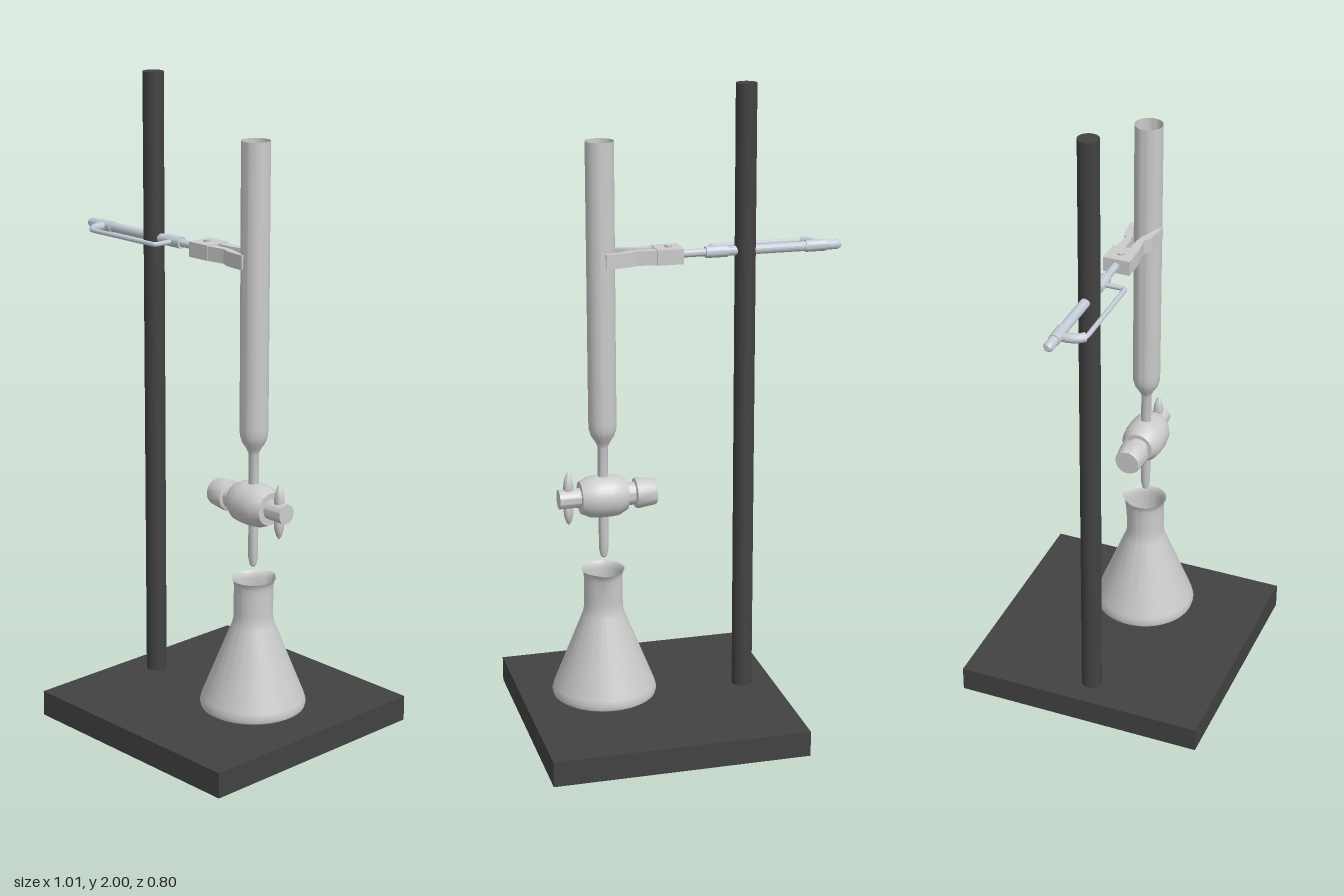
import * as THREE from 'three';
import { toCreasedNormals } from 'three/addons/utils/BufferGeometryUtils.js';

const dark = new THREE.MeshStandardMaterial({ color: 0x424242 });
const grey = new THREE.MeshStandardMaterial({ color: 0xcccccc, side: THREE.DoubleSide });
const steel = new THREE.MeshStandardMaterial({ color: 0xc4ccd6 });

function add(parent, name, geo, mat, x = 0, y = 0, z = 0) {
  const mesh = new THREE.Mesh(geo, mat);
  mesh.name = name;
  mesh.position.set(x, y, z);
  parent.add(mesh);
  return mesh;
}

// Lathe from [radius, height] pairs, keeping sharp profile edges
function turned(profile, segments = 40) {
  const points = profile.map(([r, h]) => new THREE.Vector2(r, h));
  return toCreasedNormals(new THREE.LatheGeometry(points, segments), 0.5);
}

// The same, lying along +x
const turnedX = (profile, segments = 28) => turned(profile, segments).rotateZ(-Math.PI / 2);

// Plan outline of [x, z] pairs, extruded downwards from the top
function slab(outline, height) {
  const shape = new THREE.Shape(outline.map(([x, z]) => new THREE.Vector2(x, z)));
  return new THREE.ExtrudeGeometry(shape, { depth: height, bevelEnabled: false }).rotateX(Math.PI / 2);
}

function createStand() {
  const g = new THREE.Group();
  g.name = 'stand';
  add(g, 'base', new THREE.BoxGeometry(0.8, 0.08, 0.8), dark, 0.1, 0.04, 0);
  add(g, 'rod', new THREE.CylinderGeometry(0.032, 0.032, 1.93, 32), dark, -0.202, 1.035, 0.01);
  return g;
}

function createFlask() {
  const points = [[0, 0], [0.148, 0], [0.16, 0.008], [0.163, 0.02], [0.158, 0.038], [0.066, 0.27],
    [0.061, 0.29], [0.06, 0.31], [0.06, 0.34], [0.06, 0.37], [0.06, 0.395], [0.062, 0.41], [0.067, 0.417]]
    .map(([r, h]) => new THREE.Vector2(r, h));
  const geo = new THREE.LatheGeometry(points, 64);
  // Pull the back of the neck out into a pouring spout
  const p = geo.attributes.position;
  for (let i = 0; i < p.count; i++) {
    const x = p.getX(i), y = p.getY(i), z = p.getZ(i);
    if (y < 0.3 || z > 0) continue;
    const lift = ((y - 0.3) / 0.117) ** 1.5 * Math.exp(-((x / 0.026) ** 2));
    p.setZ(i, z - 0.014 * lift);
  }
  geo.computeVertexNormals();
  const flask = new THREE.Group();
  flask.name = 'flask';
  add(flask, 'flaskBody', toCreasedNormals(geo, 0.6), grey);
  flask.position.set(0.247, 0.095, 0.016);
  return flask;
}

function createBurette() {
  const g = new THREE.Group();
  g.name = 'burette';
  g.position.set(0.244, 0, 0.016);
  // Open tube narrowing to the outlet
  add(g, 'tube', turned([[0.016, 0.76], [0.016, 0.91], [0.023, 0.925], [0.036, 0.945], [0.042, 0.965],
    [0.043, 0.99], [0.043, 1.847]]), grey);
  add(g, 'tip', turned([[0.005, 0.55], [0.01, 0.555], [0.015, 0.58], [0.015, 0.74]], 24), grey);

  // Stopcock lying across the tube
  const tap = new THREE.Group();
  tap.name = 'stopcock';
  tap.position.y = 0.75;
  g.add(tap);
  add(tap, 'barrel', turnedX([[0, -0.072], [0.048, -0.072], [0.063, -0.045], [0.066, -0.02], [0.066, 0.02],
    [0.063, 0.045], [0.05, 0.073], [0, 0.073]]), grey);
  add(tap, 'plugCap', turnedX([[0, -0.164], [0.038, -0.164], [0.041, -0.158], [0.048, -0.108],
    [0.046, -0.1], [0.036, -0.097], [0.036, -0.07]]), grey);
  add(tap, 'keyStem', turnedX([[0.03, 0.07], [0.03, 0.14], [0, 0.14]]), grey);
  for (const s of [1, -1]) {
    const wing = add(tap, 'keyWing', turned([[0.013, 0.015], [0.016, 0.035], [0.014, 0.055],
      [0.008, 0.075], [0, 0.086]], 16), grey, 0.109, 0, 0);
    if (s < 0) wing.rotation.z = Math.PI;
  }
  return g;
}

function createClamp() {
  const g = new THREE.Group();
  g.name = 'clamp';
  g.position.set(0, 1.496, 0.009);
  // Shaft with pointed end
  add(g, 'shaft', turnedX([[0, -0.506], [0.009, -0.504], [0.015, -0.493], [0.015, -0.09],
    [0.012, -0.08], [0.012, 0.01], [0, 0.01]], 20), steel);
  for (const [x0, x1, r] of [[-0.456, -0.392, 0.018], [-0.145, -0.077, 0.018]]) {
    add(g, 'collar', turnedX([[0, x0], [r, x0], [r, x1], [0, x1]], 20), steel);
  }
  // Side bar bent out from one collar and back into the other
  const path = new THREE.CurvePath();
  const v = (x, z) => new THREE.Vector3(x, 0, z);
  path.add(new THREE.LineCurve3(v(-0.428, 0.01), v(-0.428, 0.045)));
  path.add(new THREE.QuadraticBezierCurve3(v(-0.428, 0.045), v(-0.422, 0.077), v(-0.39, 0.077)));
  path.add(new THREE.LineCurve3(v(-0.39, 0.077), v(-0.125, 0.077)));
  path.add(new THREE.QuadraticBezierCurve3(v(-0.125, 0.077), v(-0.113, 0.077), v(-0.113, 0.065)));
  path.add(new THREE.LineCurve3(v(-0.113, 0.065), v(-0.113, 0.01)));
  add(g, 'sideBar', new THREE.TubeGeometry(path, 90, 0.0075, 10), steel);
  const root = new THREE.CatmullRomCurve3([v(-0.428, 0.01), v(-0.427, 0.035), v(-0.418, 0.06), v(-0.405, 0.074)]);
  add(g, 'sideBarRoot', new THREE.TubeGeometry(root, 16, 0.014, 12), steel);

  // Jaw block, pivot pin and two waisted jaws around the tube
  add(g, 'jawBlock', new THREE.BoxGeometry(0.08, 0.046, 0.084), grey, 0.04, 0, 0.002);
  add(g, 'pivot', new THREE.CylinderGeometry(0.011, 0.011, 0.058, 16), grey, 0.037, 0, 0.003);
  for (const s of [1, -1]) {
    const outline = [[0.075, 0.008], [0.075, 0.038], [0.105, 0.034], [0.14, 0.03], [0.17, 0.044],
      [0.238, 0.052], [0.238, 0.036], [0.2, 0.03], [0.165, 0.015], [0.13, 0.008]]
      .map(([x, z]) => [x, s * z + 0.005]);
    add(g, s > 0 ? 'frontJaw' : 'backJaw', slab(outline, 0.044), grey, 0, 0.021, 0);
  }
  return g;
}

export function createModel() {
  const model = new THREE.Group();
  model.name = 'titrationSetup';
  model.add(createStand(), createFlask(), createBurette(), createClamp());
  return model;
}
